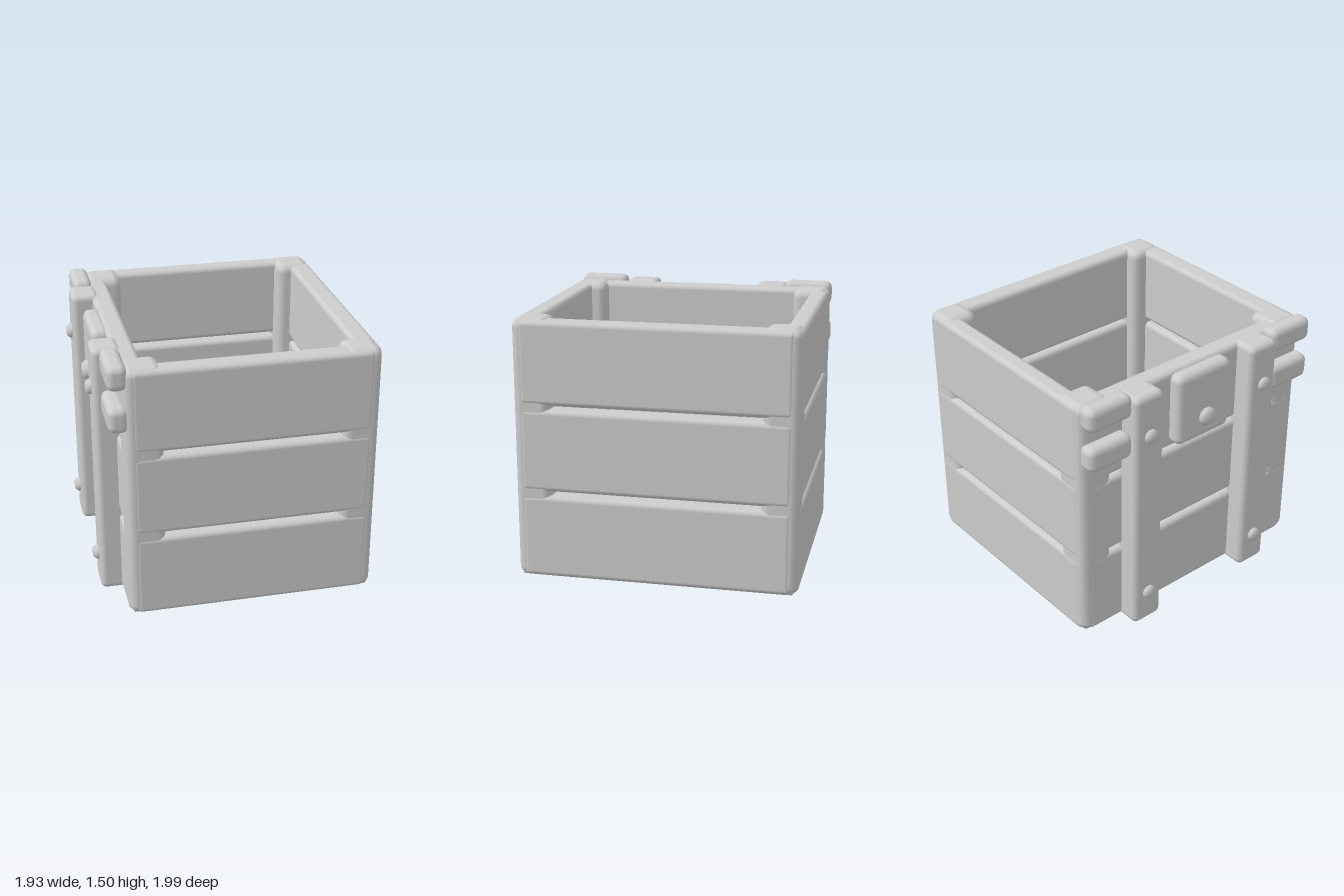
import * as THREE from 'three';
import { RoundedBoxGeometry } from 'three/addons/geometries/RoundedBoxGeometry.js';

export function createModel() {
  const grey = new THREE.MeshStandardMaterial({ color: 0xcccccc });
  grey.name = 'grey';
  const model = new THREE.Group();
  model.name = 'crate';
  // The crate stands turned about the vertical axis.
  const body = new THREE.Group();
  body.name = 'crateBody';
  body.rotation.y = -0.378;
  model.add(body);

  // Bevelled block given by its limits on each axis.
  function block(name, [x0, x1], [y0, y1], [z0, z1], radius) {
    const geometry = new RoundedBoxGeometry(x1 - x0, y1 - y0, z1 - z0, 2, radius);
    const mesh = new THREE.Mesh(geometry, grey);
    mesh.name = name;
    mesh.position.set((x0 + x1) / 2, (y0 + y1) / 2, (z0 + z1) / 2);
    body.add(mesh);
  }

  // Domed bolt head pointing out of the fitted side (-x).
  function bolt(name, x, y, z, r, h) {
    const profile = [[r, 0], [r, h * 0.5], [r * 0.65, h], [0, h]].map(p => new THREE.Vector2(...p));
    const mesh = new THREE.Mesh(new THREE.LatheGeometry(profile, 10), grey);
    mesh.name = name;
    mesh.rotation.z = Math.PI / 2;
    mesh.position.set(x, y, z);
    body.add(mesh);
  }

  // Corner posts
  for (const x of [[-0.66, -0.45], [0.53, 0.733]])
    for (const z of [[-0.797, -0.59], [0.58, 0.787]])
      block('cornerPost', x, [0.005, 1.485], z, 0.05);

  // Three rows of planks on all four sides
  for (const y of [[0.01, 0.487], [0.513, 0.982], [1.005, 1.475]]) {
    block('frontPlank', [-0.625, 0.695], y, [0.665, 0.79], 0.03);
    block('backPlank', [-0.625, 0.695], y, [-0.80, -0.69], 0.03);
    block('rightPlank', [0.61, 0.737], y, [-0.76, 0.75], 0.03);
    block('leftPlank', [-0.662, -0.54], y, [-0.76, 0.75], 0.03);
  }

  // Floor
  block('floor', [-0.64, 0.715], [0.008, 0.09], [-0.775, 0.765], 0.01);

  // Vertical straps with bolts
  for (const [z0, z1] of [[0.29, 0.485], [-0.53, -0.335]]) {
    block('strap', [-0.78, -0.62], [0, 1.485], [z0, z1], 0.035);
    for (const y of [0.2, 1.24]) bolt('strapBolt', -0.775, y, (z0 + z1) / 2, 0.042, 0.035);
  }

  // Paired corner brackets
  for (const z of [[0.49, 0.783], [-0.8, -0.515]])
    for (const y of [[1.365, 1.505], [1.125, 1.27]])
      block('cornerBracket', [-0.745, -0.635], y, z, 0.04);

  // Latch plate and knob
  block('latchPlate', [-0.74, -0.635], [1.04, 1.465], [-0.2, 0.18], 0.04);
  bolt('latchKnob', -0.735, 1.17, 0, 0.055, 0.045);

  return model;
}
